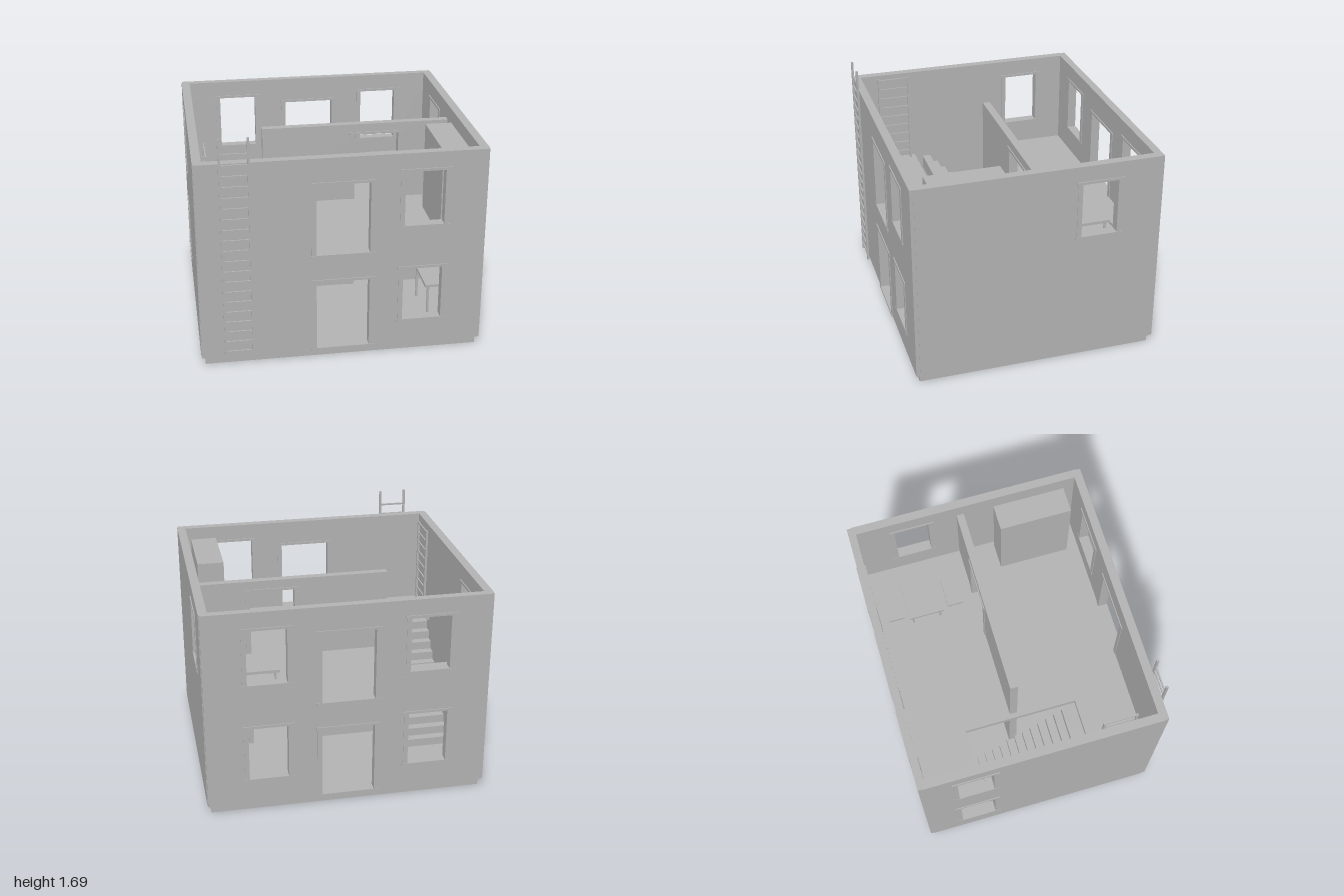
import * as THREE from 'three';

const grey = new THREE.MeshStandardMaterial({ color: 0xb2b2b2 });
grey.name = 'plain grey';

// Box given by its min and max along each axis
function box(parent, name, x0, x1, y0, y1, z0, z1) {
  const m = new THREE.Mesh(new THREE.BoxGeometry(x1 - x0, y1 - y0, z1 - z0), grey);
  m.position.set((x0 + x1) / 2, (y0 + y1) / 2, (z0 + z1) / 2);
  m.name = name;
  parent.add(m);
  return m;
}

function rect(target, x0, x1, y0, y1) {
  target.moveTo(x0, y0);
  target.lineTo(x1, y0);
  target.lineTo(x1, y1);
  target.lineTo(x0, y1);
  target.closePath();
  return target;
}

// Slab of thickness t with rectangular holes [x0, x1, y0, y1]
function pierced(x0, x1, y0, y1, t, holes) {
  const shape = rect(new THREE.Shape(), x0, x1, y0, y1);
  for (const h of holes) shape.holes.push(rect(new THREE.Path(), ...h));
  return new THREE.ExtrudeGeometry(shape, { depth: t, bevelEnabled: false });
}

// Wall in the local xy plane with a raised frame round each opening
function wall(parent, name, x0, x1, y0, y1, t, openings) {
  const g = new THREE.Group();
  g.name = name;
  const panel = new THREE.Mesh(pierced(x0, x1, y0, y1, t, openings), grey);
  panel.name = name + 'Panel';
  g.add(panel);
  const over = 0.04, jamb = 0.033, bar = 0.018, out = 0.007;
  for (const [a, b, c, d] of openings) {
    box(g, 'frameHeader', a - over, b + over, d, d + bar, -out, t + out);
    box(g, 'frameSill', a - over, b + over, c - bar, c, -out, t + out);
    box(g, 'frameJamb', a - jamb, a, c, d, -out + 0.002, t + out - 0.002);
    box(g, 'frameJamb', b, b + jamb, c, d, -out + 0.002, t + out - 0.002);
  }
  parent.add(g);
  return g;
}

// Ladder in the local xy plane, centred on x = 0
function ladder(parent, name, width, y0, y1, firstRung, step, count) {
  const g = new THREE.Group();
  g.name = name;
  for (const s of [-1, 1]) {
    const x = s * width / 2;
    box(g, 'ladderRail', x - 0.008, x + 0.008, y0, y1, -0.008, 0.008);
  }
  for (let i = 0; i < count; i++) {
    const y = firstRung + i * step;
    box(g, 'ladderRung', -width / 2, width / 2, y - 0.006, y + 0.006, -0.005, 0.005);
  }
  parent.add(g);
  return g;
}

// Table or stool: a top on four legs
function table(parent, name, x0, x1, z0, z1, floor, top) {
  const g = new THREE.Group();
  g.name = name;
  box(g, name + 'Top', x0, x1, top - 0.02, top, z0, z1);
  for (const x of [x0 + 0.02, x1 - 0.035]) {
    for (const z of [z0 + 0.02, z1 - 0.035]) {
      box(g, name + 'Leg', x, x + 0.015, floor, top - 0.02, z, z + 0.015);
    }
  }
  parent.add(g);
}

export function createModel() {
  const house = new THREE.Group();
  house.name = 'house';
  const base = 0.062, roof = 1.508, floor0 = 0.075, floor1 = 0.8, storey = 0.725;
  const both = (list) => list.flatMap(([a, b, c, d]) => [[a, b, c, d], [a, b, c + storey, d + storey]]);

  // Plinth and floors, the upper one with a stairwell
  box(house, 'plinth', -0.965, 0.965, 0, base, -0.857, 0.835);
  box(house, 'groundFloor', -0.935, 0.935, base - 0.01, floor0, -0.83, 0.805);
  const upper = new THREE.Mesh(
    pierced(-0.935, 0.935, -0.805, 0.83, 0.045, [[-0.933, -0.485, -0.4, 0.44]]), grey);
  upper.rotation.x = -Math.PI / 2;
  upper.position.y = floor1 - 0.045;
  upper.name = 'upperFloor';
  house.add(upper);

  // Outer walls
  const door = [-0.185, 0.185, 0.075, 0.593];
  const win = [0.42, 0.695, 0.255, 0.652];
  const winMirror = [-0.7, -0.425, 0.255, 0.652];
  wall(house, 'frontWall', -0.989, 0.989, base, roof, 0.06, both([door, win])).position.z = 0.802;
  wall(house, 'backWall', -0.989, 0.989, base, roof, 0.055, both([door, win, winMirror])).position.z = -0.884;
  const right = wall(house, 'rightWall', -0.856, 0.835, base, roof, 0.061, [[-0.56, -0.306, 0.98, 1.377]]);
  const left = wall(house, 'leftWall', -0.856, 0.835, base, roof, 0.061, both([[-0.62, -0.364, 0.255, 0.652]]));
  right.rotation.y = left.rotation.y = -Math.PI / 2;
  right.position.x = 0.993;
  left.position.x = -0.932;

  // Inner partitions with doorways
  const inner = [0.235, 0.56, 0.075, 0.593];
  wall(house, 'lowerPartition', -0.45, 0.935, base, 0.76, 0.055, [inner]).position.z = -0.091;
  wall(house, 'upperPartition', -0.45, 0.935, floor1 - 0.02, 1.395, 0.055,
    [[0.235, 0.56, 0.8, 1.315]]).position.z = -0.091;

  // Staircase rising towards the front
  const n = 12, run = 0.72 / n, rise = (floor1 - floor0) / n;
  const profile = new THREE.Shape();
  profile.moveTo(-0.375, floor0);
  for (let i = 0; i < n; i++) {
    profile.lineTo(-0.375 + i * run, floor0 + (i + 1) * rise);
    profile.lineTo(-0.375 + (i + 1) * run, floor0 + (i + 1) * rise);
  }
  profile.lineTo(0.345, floor1 - 0.1);
  profile.lineTo(-0.275, floor0);
  profile.closePath();
  const stairs = new THREE.Mesh(
    new THREE.ExtrudeGeometry(profile, { depth: 0.36, bevelEnabled: false }), grey);
  stairs.rotation.y = -Math.PI / 2;
  stairs.position.x = -0.52;
  stairs.name = 'stairs';
  house.add(stairs);

  // Ladders: one outside, one inside the upper room
  ladder(house, 'outsideLadder', 0.192, 0.065, 1.688, 0.11, 0.0772, 20).position.set(-0.725, 0, 0.88);
  const roofLadder = ladder(house, 'insideLadder', 0.23, floor1, 1.49, 0.86, 0.0772, 9);
  roofLadder.rotation.y = Math.PI / 2;
  roofLadder.position.set(-0.895, 0, 0.555);

  // Furniture
  box(house, 'wardrobe', 0.71, 0.9, floor1, 1.45, 0.18, 0.71);
  table(house, 'diningTable', 0.43, 0.765, -0.61, -0.345, floor1, 0.94);
  table(house, 'bench', 0.48, 0.715, -0.765, -0.645, floor1, 0.875);
  table(house, 'bench', 0.48, 0.715, -0.305, -0.185, floor1, 0.875);
  table(house, 'sideTable', 0.65, 0.9, 0.2, 0.6, floor0, 0.365);
  return house;
}
